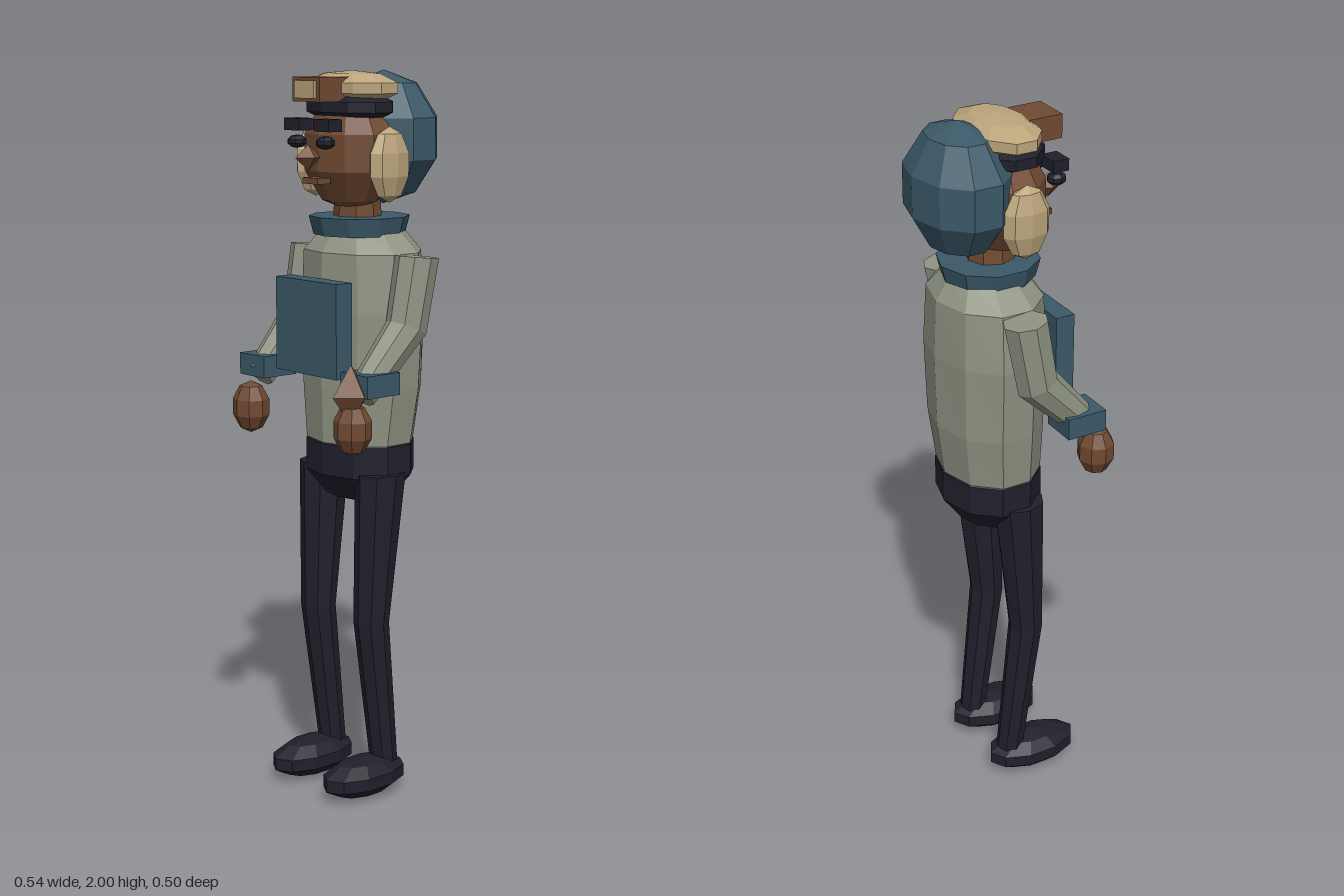
import * as THREE from 'three';

const mat = (name, color) => Object.assign(new THREE.MeshStandardMaterial({ color, flatShading: true }), { name });

export function createModel() {
  const skin = mat('brown skin', 0x704a32);
  const tan = mat('tan fur', 0xbba57c);
  const blue = mat('slate blue', 0x3b5969);
  const grey = mat('grey jacket', 0x8f9483);
  const dark = mat('dark navy', 0x20202c);

  const model = new THREE.Group();
  model.name = 'figure';

  const add = (name, geometry, material, x = 0, y = 0, z = 0) => {
    const mesh = new THREE.Mesh(geometry, material);
    mesh.name = name;
    mesh.position.set(x, y, z);
    model.add(mesh);
    return mesh;
  };

  // Faceted ellipsoid with a corner facing front and back
  const blob = (name, material, [x, y, z], [rx, ry, rz], sides = 10, rows = 5) =>
    add(name, new THREE.SphereGeometry(1, sides, rows).rotateY(Math.PI / 2).scale(rx, ry, rz), material, x, y, z);

  const box = (name, material, [x, y, z], [w, h, d]) =>
    add(name, new THREE.BoxGeometry(w, h, d), material, x, y, z);

  // Closed loft through elliptical sections listed from top to bottom: [x, y, z, rx, rz, tilt]
  const loft = (name, material, sections, sides) => {
    const first = sections[0], last = sections[sections.length - 1];
    const rows = [[first[0], first[1], first[2], 0, 0], ...sections, [last[0], last[1], last[2], 0, 0]];
    const pos = [], index = [];
    rows.forEach(([x, y, z, rx, rz, tilt = 0], i) => {
      for (let j = 0; j < sides; j++) {
        const a = (j / sides) * Math.PI * 2 + Math.PI / 2;
        const d = rz * Math.sin(a);
        pos.push(x + rx * Math.cos(a), y + d * Math.sin(tilt), z + d * Math.cos(tilt));
        if (i === rows.length - 1) continue;
        const p = i * sides + j, q = i * sides + (j + 1) % sides;
        if (i > 0) index.push(p, q, p + sides);
        if (i < rows.length - 2) index.push(q, q + sides, p + sides);
      }
    });
    const g = new THREE.BufferGeometry();
    g.setAttribute('position', new THREE.Float32BufferAttribute(pos, 3));
    g.setIndex(index);
    g.computeVertexNormals();
    return add(name, g, material);
  };

  // Trunk
  loft('jacket', grey, [
    [0, 1.585, -0.045, 0.11, 0.1],
    [0, 1.52, -0.043, 0.185, 0.145],
    [0, 1.36, -0.045, 0.198, 0.15],
    [0, 1.15, -0.043, 0.187, 0.147],
    [0, 1.0, -0.035, 0.168, 0.135],
  ], 10);
  blob('pelvis', dark, [0, 0.953, -0.035], [0.177, 0.139, 0.145]);
  box('chestPanel', blue, [0, 1.323, 0.132], [0.25, 0.255, 0.055]);
  add('collar', new THREE.CylinderGeometry(0.138, 0.125, 0.05, 10), blue, 0, 1.588, -0.032);
  add('neck', new THREE.CylinderGeometry(0.06, 0.068, 0.12, 8), skin, 0, 1.64, -0.025);

  // Head and headgear
  blob('head', skin, [0, 1.785, 0], [0.147, 0.16, 0.12]);
  blob('hairBun', blue, [0, 1.82, -0.12], [0.179, 0.18, 0.137]);
  blob('headband', dark, [0, 1.905, 0.002], [0.15, 0.045, 0.105]);
  blob('cap', tan, [0, 1.955, -0.005], [0.166, 0.045, 0.1]);
  box('capBlock', skin, [0, 1.952, 0.105], [0.11, 0.064, 0.1]);
  box('capBlockPlate', tan, [0, 1.952, 0.159], [0.08, 0.046, 0.008]);

  // Face
  add('nose', new THREE.OctahedronGeometry(1).scale(0.027, 0.034, 0.045), skin, 0, 1.775, 0.148);
  box('mouth', skin, [0, 1.713, 0.12], [0.062, 0.016, 0.045]);

  for (const s of [-1, 1]) {
    const side = s > 0 ? 'left' : 'right';
    box(side + 'Brow', dark, [s * 0.06, 1.86, 0.132], [0.062, 0.032, 0.046]);
    blob(side + 'Eye', dark, [s * 0.058, 1.815, 0.138], [0.025, 0.018, 0.028], 8, 5);
    blob(side + 'EarMuff', tan, [s * 0.15, 1.757, -0.005], [0.036, 0.1, 0.07], 8, 5);

    // Arm
    loft(side + 'Arm', grey, [
      [s * 0.216, 1.517, -0.045, 0.055, 0.062, 0.1],
      [s * 0.215, 1.33, -0.008, 0.052, 0.06, 0.4],
      [s * 0.212, 1.165, 0.15, 0.04, 0.042, 0.8],
    ], 8);
    box(side + 'Cuff', blue, [s * 0.214, 1.195, 0.118], [0.106, 0.06, 0.115]);
    blob(side + 'Hand', skin, [s * 0.214, 1.08, 0.18], [0.054, 0.073, 0.053], 8, 5);

    // Leg
    loft(side + 'Leg', dark, [
      [s * 0.118, 0.92, -0.005, 0.064, 0.074],
      [s * 0.113, 0.5, 0.023, 0.051, 0.048],
      [s * 0.111, 0.08, -0.027, 0.04, 0.038],
    ], 8);
    blob(side + 'Foot', dark, [s * 0.111, 0.056, 0.048], [0.078, 0.055, 0.145]);
  }

  // Pointed piece held above the left hand
  add('heldPoint', new THREE.OctahedronGeometry(1).scale(0.055, 0.082, 0.062), skin, 0.21, 1.17, 0.183);

  return model;
}
